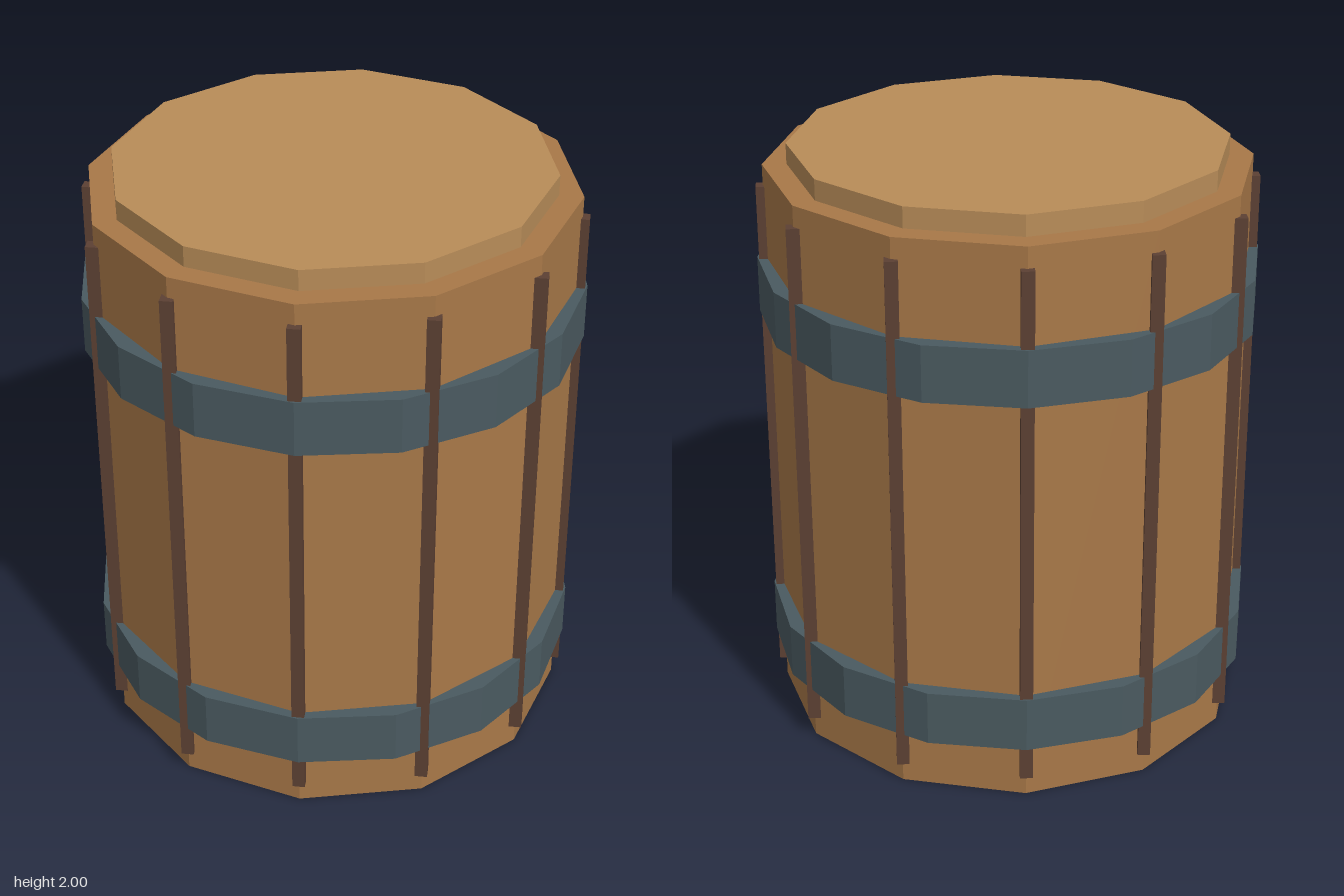
import * as THREE from 'three';

const flat = (color) => new THREE.MeshStandardMaterial({ color, flatShading: true });

const wood = flat(0xa87848);
const paleWood = flat(0xb88c58);
const darkWood = flat(0x5c4033);
const iron = flat(0x4a5a60);

// Upright prism spanning y0..y1
function drum(name, radius, sides, y0, y1, material) {
  const mesh = new THREE.Mesh(new THREE.CylinderGeometry(radius, radius, y1 - y0, sides), material);
  mesh.name = name;
  mesh.position.y = (y0 + y1) / 2;
  return mesh;
}

export function createModel() {
  const barrel = new THREE.Group();
  barrel.name = 'barrel';

  // Twelve-sided body with a slightly smaller lid
  barrel.add(drum('body', 0.805, 12, 0, 1.93, wood));
  barrel.add(drum('lid', 0.725, 12, 1.93, 2, paleWood));

  // Sixteen-sided iron hoops
  barrel.add(drum('lowerHoop', 0.835, 16, 0.19, 0.38, iron));
  barrel.add(drum('upperHoop', 0.835, 16, 1.42, 1.61, iron));

  // Battens along the body's corners, each squared to its nearest axis
  const battens = new THREE.Group();
  battens.name = 'battens';
  const battenGeometry = new THREE.BoxGeometry(0.042, 1.785, 0.05);
  for (let i = 0; i < 12; i++) {
    const angle = (i * Math.PI) / 6;
    const batten = new THREE.Mesh(battenGeometry, darkWood);
    batten.name = 'batten';
    batten.position.set(Math.sin(angle) * 0.803, 0.9675, Math.cos(angle) * 0.803);
    batten.rotation.y = Math.round(i / 3) * Math.PI / 2;
    battens.add(batten);
  }
  barrel.add(battens);

  return barrel;
}
